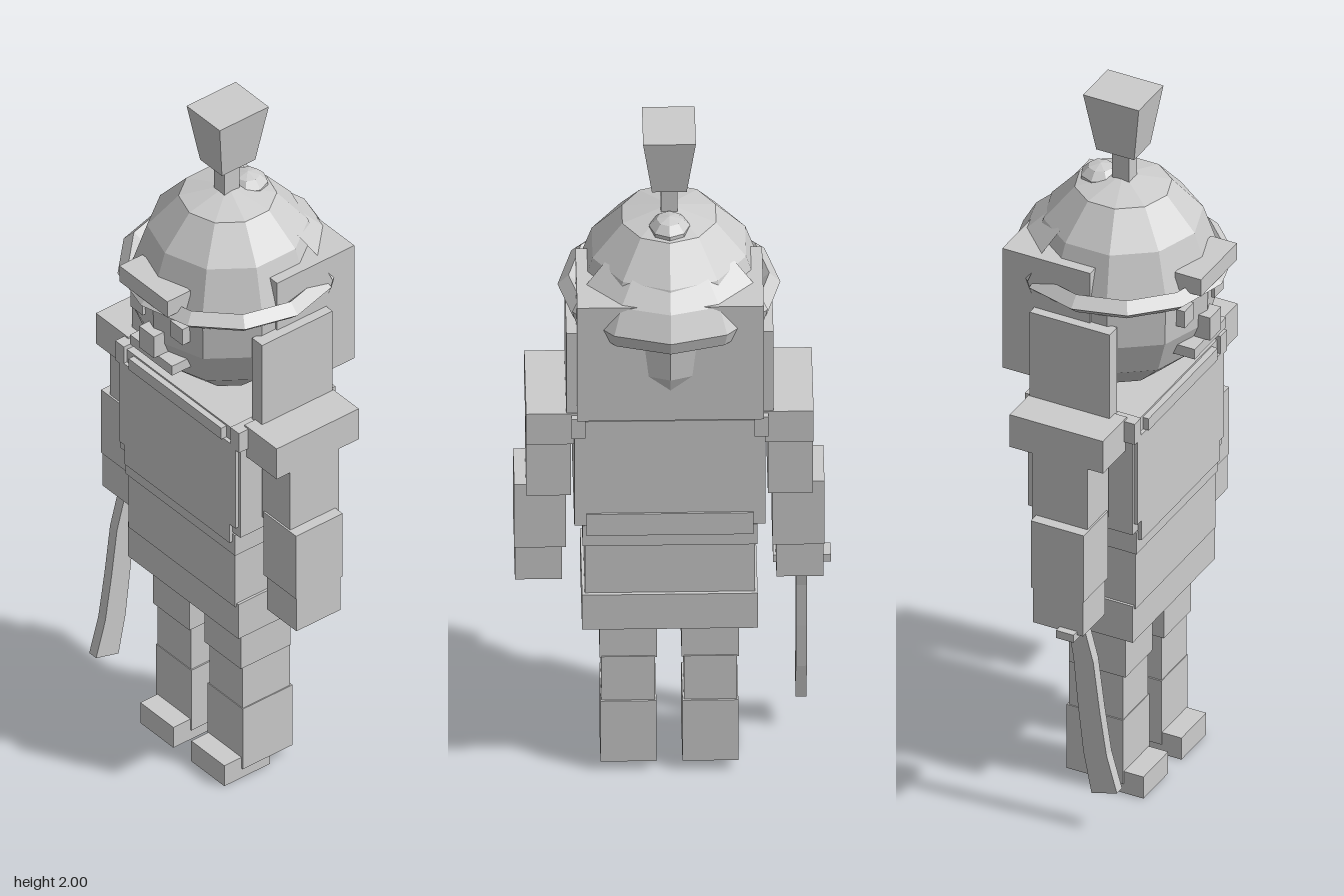
import * as THREE from 'three';

const stone = new THREE.MeshStandardMaterial({ color: 0xcccccc, flatShading: true, side: THREE.DoubleSide });
stone.name = 'plain grey';
const CX = 0.0085; // the body sits slightly off centre because of the sword guard

export function createModel() {
  const model = new THREE.Group();
  model.name = 'guardFigure';

  const add = (name, geometry, x = CX, y = 0, z = 0) => {
    const mesh = new THREE.Mesh(geometry, stone);
    mesh.name = name;
    mesh.position.set(x, y, z);
    model.add(mesh);
    return mesh;
  };
  // box given by its limits; x is measured from the body's centre line
  const box = (name, x0, x1, y0, y1, z0, z1) =>
    add(name, new THREE.BoxGeometry(x1 - x0, y1 - y0, z1 - z0),
      CX + (x0 + x1) / 2, (y0 + y1) / 2, (z0 + z1) / 2);
  const pair = (name, x0, x1, ...rest) => {
    box('left' + name, x0, x1, ...rest);
    box('right' + name, -x1, -x0, ...rest);
  };
  const lathe = (name, points, segments, start = 0, length = Math.PI * 2) =>
    add(name, new THREE.LatheGeometry(points.map(p => new THREE.Vector2(...p)), segments, start, length));

  // head and dome in one ten-sided shell
  lathe('head', [[0, 1.175], [0.1, 1.18], [0.2, 1.27], [0.24, 1.37], [0.245, 1.51],
    [0.205, 1.63], [0.125, 1.72], [0, 1.75]], 10);

  // helmet rim open at the back, and flared neck guard
  lathe('helmetRim', [[0.225, 1.5], [0.255, 1.475], [0.283, 1.5], [0.255, 1.528], [0.225, 1.5]],
    8, -Math.PI * 2 / 3, Math.PI * 4 / 3);
  lathe('neckGuard', [[0.21, 1.5], [0.275, 1.48], [0.287, 1.52], [0.25, 1.585], [0.19, 1.64], [0.21, 1.5]],
    4, Math.PI * 2 / 3, Math.PI * 2 / 3);
  box('helmetBadge', -0.097, 0.097, 1.515, 1.565, 0.2, 0.275);
  const bump = add('helmetBump', new THREE.SphereGeometry(0.055, 8, 5), CX, 1.72, -0.065);
  bump.scale.y = 0.75;

  // crest pole and flared plume
  box('crestPole', -0.021, 0.021, 1.7, 1.85, -0.022, 0.028);
  const plume = new THREE.BoxGeometry(0.134, 0.17, 0.16);
  const pp = plume.attributes.position;
  for (let i = 0; i < pp.count; i++) {
    if (pp.getY(i) < 0) pp.setXYZ(i, pp.getX(i) * 0.66, pp.getY(i), pp.getZ(i) * 0.68);
  }
  plume.computeVertexNormals();
  add('plume', plume, CX, 1.915, 0);

  // hair block and hanging side flaps
  box('hairBlock', -0.237, 0.237, 1.23, 1.59, -0.222, 0.03);
  pair('SideFlap', 0.222, 0.263, 1.18, 1.44, -0.13, 0.1);

  // face
  pair('Eye', 0.056, 0.105, 1.41, 1.46, 0.15, 0.232);
  box('nose', -0.03, 0.03, 1.34, 1.408, 0.2, 0.265);
  box('mouth', -0.085, 0.085, 1.31, 1.34, 0.17, 0.25);

  // torso, belt and skirt
  box('chest', -0.243, 0.243, 0.84, 1.17, -0.145, 0.155);
  box('collarPlate', -0.187, 0.187, 1.13, 1.165, 0.15, 0.172);
  box('chestPlate', -0.235, 0.235, 0.87, 1.13, 0.15, 0.165);
  pair('CollarEdge', 0.215, 0.25, 1.12, 1.182, -0.15, 0.165);
  box('belt', -0.212, 0.212, 0.81, 0.878, -0.15, 0.165);
  box('beltSash', -0.222, 0.222, 0.77, 0.835, -0.14, 0.155);
  box('waist', -0.216, 0.216, 0.6, 0.78, -0.125, 0.15);
  box('skirt', -0.223, 0.223, 0.5, 0.61, -0.135, 0.145);

  // arms
  pair('Shoulder', 0.235, 0.365, 1.09, 1.187, -0.133, 0.135);
  pair('UpperArm', 0.25, 0.364, 0.88, 1.1, -0.07, 0.09);
  pair('Forearm', 0.262, 0.394, 0.705, 0.906, -0.057, 0.095);
  pair('Hand', 0.272, 0.392, 0.6, 0.71, -0.052, 0.092);

  // legs and feet
  pair('Thigh', 0.031, 0.177, 0.355, 0.51, -0.062, 0.1);
  pair('Shin', 0.037, 0.172, 0.215, 0.36, -0.065, 0.09);
  pair('Boot', 0.033, 0.175, 0.03, 0.222, -0.07, 0.092);
  pair('Foot', 0.036, 0.17, 0, 0.065, 0, 0.148);

  // curved sword: side outline drawn as (z, y), extruded across x
  const blade = new THREE.Shape([
    [0.073, 0.6], [0.1, 0.5], [0.118, 0.36], [0.138, 0.23], [0.168, 0.125],
    [0.095, 0.105], [0.072, 0.22], [0.056, 0.36], [0.043, 0.5], [0.025, 0.6],
  ].map(p => new THREE.Vector2(...p)));
  const bladeGeometry = new THREE.ExtrudeGeometry(blade, { depth: 0.028, bevelEnabled: false });
  bladeGeometry.rotateY(-Math.PI / 2);
  add('swordBlade', bladeGeometry, -0.315, 0, 0);
  box('swordGuard', -0.412, -0.265, 0.587, 0.61, 0.025, 0.075);

  return model;
}
